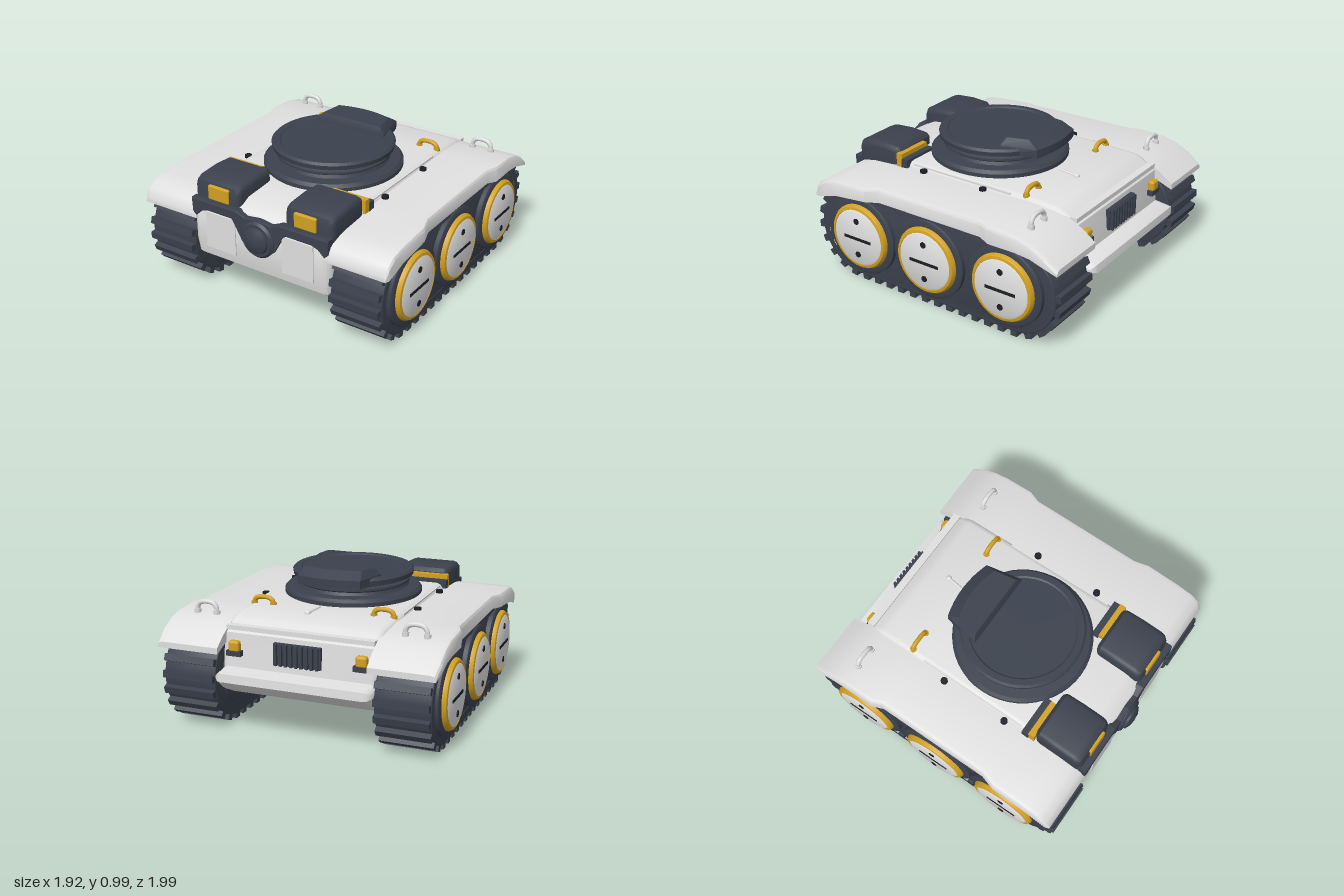
import * as THREE from 'three';
import { toCreasedNormals } from 'three/addons/utils/BufferGeometryUtils.js';
import { RoundedBoxGeometry } from 'three/addons/geometries/RoundedBoxGeometry.js';

const paint = (name, color) => Object.assign(new THREE.MeshStandardMaterial({ color }), { name });

export function createModel() {
  const model = new THREE.Group();
  model.name = 'trackedRover';
  const white = paint('hull white', 0xdfdfdf);
  const dark = paint('dark slate', 0x3b414d);
  const gold = paint('amber gold', 0xd2a122);
  const black = paint('bolt black', 0x1b1e25);

  const add = (name, geo, mat, x = 0, y = 0, z = 0) => {
    const mesh = new THREE.Mesh(geo, mat);
    mesh.name = name;
    mesh.position.set(x, y, z);
    model.add(mesh);
    return mesh;
  };
  const box = (name, mat, w, h, d, x, y, z) => add(name, new THREE.BoxGeometry(w, h, d), mat, x, y, z);
  const vectors = pts => pts.map(p => new THREE.Vector2(p[0], p[1]));

  // Side profile of [z, y] points, extruded from x0 to x1 with rounded edges
  const sideProfile = (pts, x0, x1, bevel, hole) => {
    const shape = new THREE.Shape(vectors(pts));
    if (hole) shape.holes.push(new THREE.Path(vectors(hole)));
    const g = new THREE.ExtrudeGeometry(shape, {
      depth: x1 - x0 - 2 * bevel, bevelSize: bevel,
      bevelThickness: bevel, bevelOffset: -bevel, bevelSegments: 3,
    });
    g.rotateY(-Math.PI / 2).translate(x1 - bevel, 0, 0);
    return toCreasedNormals(g, 0.65);
  };
  // Turned part of [radius, height] points
  const turned = pts => toCreasedNormals(new THREE.LatheGeometry(vectors(pts), 48).toNonIndexed(), 0.6);
  const handle = (name, mat, x, y, z, w, h, r) => {
    const pts = [[-w, 0], [-w * 0.95, h * 0.6], [-w * 0.6, h], [w * 0.6, h], [w * 0.95, h * 0.6], [w, 0]];
    const curve = new THREE.CatmullRomCurve3(pts.map(p => new THREE.Vector3(p[0], p[1], 0)));
    add(name, new THREE.TubeGeometry(curve, 24, r, 8), mat, x, y, z);
    for (const s of [-1, 1]) add(name + 'Foot', new THREE.CylinderGeometry(r * 1.4, r * 1.4, 0.03, 10), mat, x + s * w, y + 0.005, z);
  };

  // Hull with rounded nose, sloped tail and rear ledge
  add('hull', sideProfile([
    [0.78, 0.25], [0.86, 0.262], [0.915, 0.3], [0.935, 0.4], [0.935, 0.62], [0.9, 0.69], [0.8, 0.74], [0.52, 0.762],
    [-0.4, 0.757], [-0.69, 0.745], [-0.74, 0.725], [-0.79, 0.69], [-0.84, 0.66], [-0.86, 0.44], [-0.98, 0.425],
    [-0.985, 0.37], [-0.9, 0.3], [-0.8, 0.25],
  ], -0.53, 0.53, 0.05), white);
  box('rearLip', white, 1.0, 0.03, 0.05, 0, 0.69, -0.81);

  // Nose plate, joining both lamps around the round sensor
  const half = [[0.1, 0.675], [0.17, 0.7], [0.53, 0.7], [0.525, 0.6], [0.5, 0.575], [0.45, 0.62], [0.4, 0.635],
    [0.21, 0.635], [0.18, 0.59], [0.13, 0.5], [0.07, 0.445]];
  const outline = [[0, 0.685], ...half, [0, 0.43], ...half.map(p => [-p[0], p[1]]).reverse()];
  add('nosePlate', new THREE.ExtrudeGeometry(new THREE.Shape(vectors(outline)), {
    depth: 0.045, bevelSize: 0.008, bevelThickness: 0.008, bevelOffset: -0.008, bevelSegments: 2,
  }), dark, 0, 0, 0.89);
  add('noseSensor', turned([[0.125, 0], [0.125, 0.015], [0.11, 0.03], [0.09, 0.03], [0.085, 0.045], [0.05, 0.062], [0, 0.068]])
    .rotateX(Math.PI / 2), dark, 0, 0.55, 0.932);

  // Turret: flange, neck and lid with a rear hump
  add('turret', turned([
    [0.47, 0.72], [0.47, 0.785], [0.45, 0.805], [0.38, 0.81], [0.37, 0.83], [0.385, 0.84], [0.385, 0.855], [0.365, 0.865],
    [0.365, 0.875], [0.41, 0.885], [0.415, 0.915], [0.4, 0.93], [0.36, 0.93], [0.35, 0.922], [0, 0.922],
  ]), dark, 0, 0, 0.09);
  // Hump rings, bottom to top: [front half width, front y, front z, rear half width, rear y, rear z]
  const rings = [[0.28, 0.87, -0.105, 0.22, 0.885, -0.355], [0.27, 0.935, -0.105, 0.22, 0.94, -0.355], [0.23, 0.98, -0.125, 0.2, 0.988, -0.275]];
  const hump = new THREE.BoxGeometry(1, 1, 1, 8, 2, 1).toNonIndexed();
  const p = hump.attributes.position;
  for (let i = 0; i < p.count; i++) {
    const u = p.getX(i) * 2, rear = p.getZ(i) < 0;
    const [w, y, z] = rings[Math.round(p.getY(i) * 2) + 1].slice(rear ? 3 : 0);
    p.setXYZ(i, u * w, y, rear ? z - 0.035 * (1 - u * u) : z);
  }
  add('turretHump', toCreasedNormals(hump, 0.5), dark);

  // Fender: box section lofted along z; stations are [z, top, bottom, outer x]
  const stations = [
    [0.94, 0.585, 0.55, 0.93], [0.91, 0.645, 0.55, 0.94], [0.85, 0.685, 0.565, 0.94], [0.75, 0.703, 0.595, 0.94],
    [0.5, 0.72, 0.62, 0.94], [0.4, 0.73, 0.63, 0.91], [-0.4, 0.735, 0.63, 0.91], [-0.48, 0.735, 0.62, 0.94],
    [-0.68, 0.725, 0.62, 0.94], [-0.78, 0.7, 0.61, 0.94], [-0.88, 0.65, 0.58, 0.94], [-0.97, 0.585, 0.545, 0.93],
  ];
  const fender = s => {
    const pos = [], idx = [], n = 6;
    const tri = (a, b, c) => (s > 0 ? idx.push(a, b, c) : idx.push(a, c, b));
    for (const [z, t, b, x] of stations) {
      for (const [px, py] of [[0.5, b], [0.5, t], [x - 0.035, t], [x - 0.01, t - 0.008], [x, t - 0.025], [x, b]]) pos.push(s * px, py, z);
    }
    for (let i = 0; i < stations.length - 1; i++) {
      for (let j = 0; j < n; j++) {
        const a = i * n + j, b = i * n + (j + 1) % n;
        tri(a, b, b + n);
        tri(a, b + n, a + n);
      }
    }
    const e = (stations.length - 1) * n;
    for (let j = 1; j < n - 1; j++) {
      tri(0, j + 1, j);
      tri(e, e + j, e + j + 1);
    }
    const g = new THREE.BufferGeometry();
    g.setAttribute('position', new THREE.Float32BufferAttribute(pos, 3));
    g.setIndex(idx);
    return toCreasedNormals(g.toNonIndexed(), 0.6);
  };

  // Track loop: two half circles joined by straights, as [z, y, outward angle]
  const R = 0.305, cy = 0.343, zf = 0.62, zb = -0.64;
  const loop = d => {
    const L = zf - zb, A = Math.PI * R;
    if (d < L) return [zf - d, cy - R, -Math.PI / 2];
    if (d < L + A) { const a = -Math.PI / 2 - (d - L) / R; return [zb + R * Math.cos(a), cy + R * Math.sin(a), a]; }
    if (d < 2 * L + A) return [zb + d - L - A, cy + R, Math.PI / 2];
    const a = Math.PI / 2 - (d - 2 * L - A) / R;
    return [zf + R * Math.cos(a), cy + R * Math.sin(a), a];
  };
  const total = 2 * (zf - zb) + 2 * Math.PI * R, teeth = 44;
  const loopPts = Array.from({ length: 72 }, (_, i) => loop(i / 72 * total));
  const inset = t => loopPts.map(([z, y, a]) => [z - t * Math.cos(a), y - t * Math.sin(a)]);
  const padGeo = new THREE.BoxGeometry(0.355, 0.064, 0.046);

  for (const s of [1, -1]) {
    const span = (a, b) => (s > 0 ? [a, b] : [-b, -a]);
    const axial = g => g.rotateZ(-s * Math.PI / 2);
    add('fender', fender(s), white);
    add('trackBand', sideProfile(loopPts, ...span(0.535, 0.9), 0.008, inset(0.045)), dark);
    add('trackCore', sideProfile(inset(0.03), ...span(0.55, 0.88), 0.005), dark);
    for (let i = 0; i < teeth; i++) {
      const [z, y, a] = loop((i + 0.5) / teeth * total);
      add('trackPad', padGeo, dark, s * 0.717, y + 0.004 * Math.sin(a), z + 0.004 * Math.cos(a)).rotation.x = Math.PI / 2 - a;
    }

    // Road wheels with amber rims, slot and bolts
    for (const z of [0.57, 0.01, -0.58]) {
      const y = 0.342;
      add('wheelHousing', axial(turned([[0.275, 0], [0.275, 0.035], [0.262, 0.043], [0.225, 0.043]])), dark, s * 0.875, y, z);
      add('wheelRim', axial(turned([[0.23, 0], [0.23, 0.03], [0.218, 0.05], [0.2, 0.054], [0.196, 0.045]])), gold, s * 0.895, y, z);
      add('wheelDisc', axial(turned([[0.2, 0], [0.2, 0.05], [0.185, 0.058], [0, 0.059]])), white, s * 0.895, y, z);
      box('wheelSlot', black, 0.008, 0.02, 0.225, s * 0.954, y - 0.008, z);
      for (const dy of [-0.122, 0.122]) {
        add('wheelBolt', axial(new THREE.CylinderGeometry(0.021, 0.021, 0.008, 12)), black, s * 0.955, y + dy, z);
      }
      add('innerWheel', axial(new THREE.CylinderGeometry(0.235, 0.235, 0.025, 32)), dark, s * 0.543, y, z);
    }

    // Headlamp pods, with a gold strip and block behind
    add('lampPod', sideProfile([
      [0.9, 0.64], [0.9, 0.77], [0.885, 0.815], [0.84, 0.838], [0.7, 0.848], [0.57, 0.84], [0.545, 0.815], [0.545, 0.68], [0.6, 0.64],
    ], ...span(0.175, 0.535), 0.042), dark);
    add('headlamp', new RoundedBoxGeometry(0.165, 0.1, 0.04, 3, 0.01), gold, s * 0.335, 0.752, 0.89);
    box('podRearStrip', gold, 0.265, 0.1, 0.045, s * 0.413, 0.76, 0.53);
    box('podRearBlock', dark, 0.28, 0.1, 0.05, s * 0.41, 0.73, 0.484);
    box('frontPanel', white, 0.235, 0.255, 0.009, s * 0.3, 0.5, 0.937);

    // Deck fittings
    handle('fenderHandle', white, s * 0.715, 0.725, -0.69, 0.07, 0.066, 0.016);
    handle('deckHandle', gold, s * 0.42, 0.745, -0.455, 0.068, 0.05, 0.016);
    box('deckRail', white, 0.014, 0.02, 0.78, s * 0.51, 0.742, 0.04);
    for (const z of [-0.16, 0.32]) {
      add('deckBolt', new THREE.CylinderGeometry(0.024, 0.024, 0.02, 12), black, s * 0.548, 0.74, z);
    }
    // Tail lamps
    box('tailLampBase', dark, 0.1, 0.035, 0.05, s * 0.43, 0.535, -0.865);
    add('tailLamp', new RoundedBoxGeometry(0.075, 0.075, 0.05, 3, 0.018), gold, s * 0.43, 0.58, -0.866);
  }

  // Rear grille with upright ribs
  box('rearGrille', dark, 0.32, 0.14, 0.035, 0, 0.56, -0.855);
  for (let i = 0; i < 9; i++) box('grilleRib', dark, 0.018, 0.14, 0.025, -0.14 + i * 0.035, 0.56, -0.88);

  // Lever lying on the rear deck
  const rod = new THREE.LineCurve3(new THREE.Vector3(0.04, 0.757, -0.41), new THREE.Vector3(0.06, 0.752, -0.56));
  add('deckLever', new THREE.TubeGeometry(rod, 1, 0.011, 8), white);
  add('deckLeverKnob', new THREE.SphereGeometry(0.02, 14, 10), white, 0.06, 0.752, -0.56);
  return model;
}
